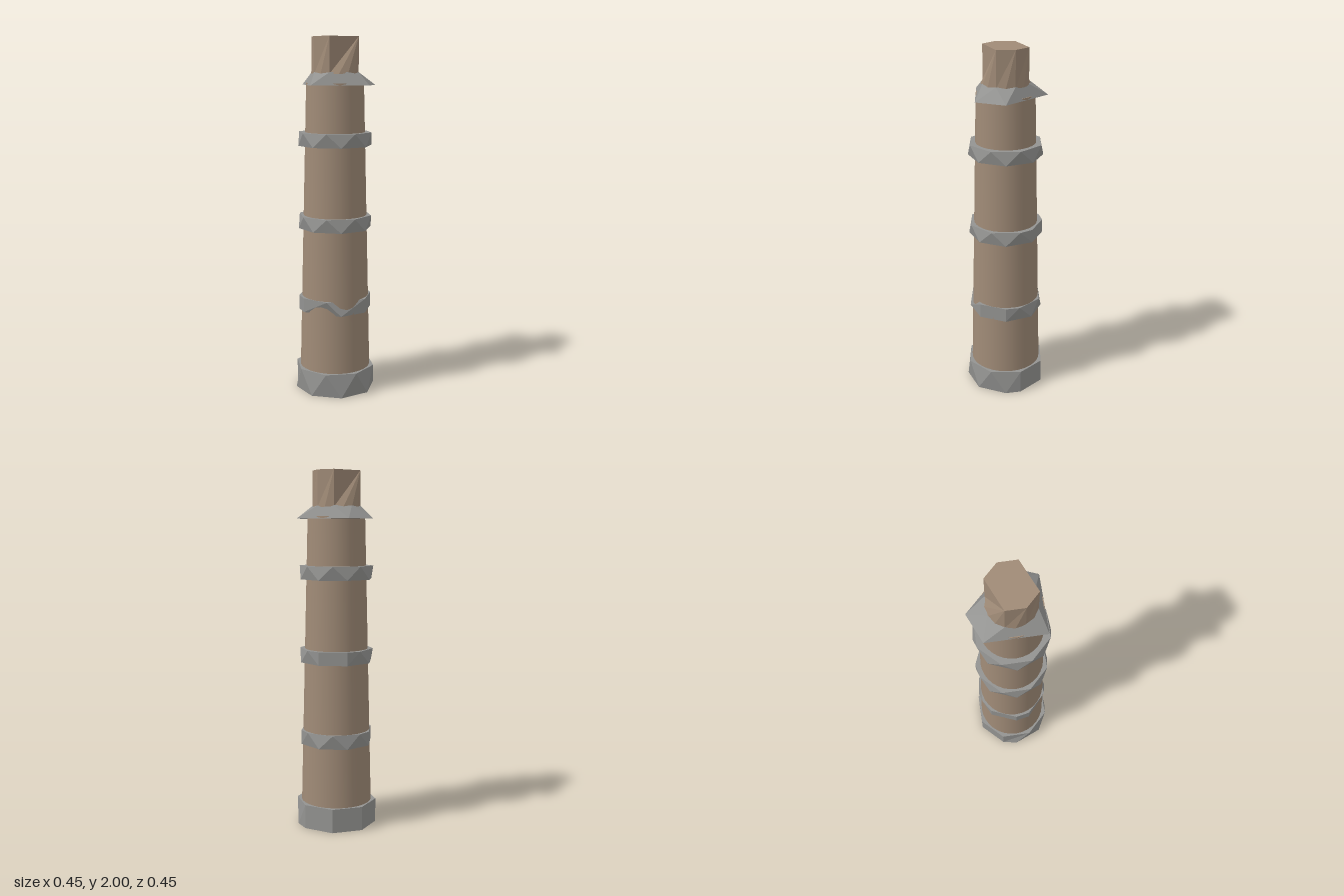
import * as THREE from 'three';

const STEP = Math.PI / 8; // rings use corners of a 16-gon, some left out for a chipped look
const ALL = Array.from({ length: 16 }, (_, i) => i);
const EVEN = ALL.filter((i) => i % 2 === 0);
const ODD = ALL.filter((i) => i % 2 === 1);

const ring = (corners, r, y) => ({ corners, r, y });

// Joins successive rings, matching corners by angle, into a faceted skin.
function skin(rings) {
  const pos = [];
  const put = (ringData, k) => {
    const a = k * STEP;
    pos.push(ringData.r * Math.cos(a), ringData.y, ringData.r * Math.sin(a));
  };
  const at = (list, i) => list[i % list.length] + 16 * Math.floor(i / list.length);
  for (let n = 0; n + 1 < rings.length; n++) {
    const lo = rings[n], hi = rings[n + 1];
    const L = lo.corners, H = hi.corners;
    let i = 0, j = 0;
    while (i < L.length || j < H.length) {
      const a = at(L, i), b = at(H, j);
      const stepLow = j >= H.length || (i < L.length && at(L, i + 1) <= at(H, j + 1));
      if (stepLow) {
        put(lo, a); put(hi, b); put(lo, at(L, ++i));
      } else {
        const next = at(H, ++j);
        if (hi.r > 0) { put(lo, a); put(hi, b); put(hi, next); }
      }
    }
  }
  const geo = new THREE.BufferGeometry();
  geo.setAttribute('position', new THREE.Float32BufferAttribute(pos, 3));
  geo.computeVertexNormals();
  return geo;
}

export function createModel() {
  const group = new THREE.Group();
  const clay = new THREE.MeshStandardMaterial({ name: 'brown clay', color: 0xa08b77 });
  const stone = new THREE.MeshStandardMaterial({ name: 'grey stone', color: 0x939391, side: THREE.DoubleSide });

  const add = (name, geo, mat) => {
    const mesh = new THREE.Mesh(geo, mat);
    mesh.name = name;
    group.add(mesh);
  };

  // Tapered shaft
  const shaft = new THREE.CylinderGeometry(0.16, 0.2, 1.62, 32);
  shaft.translate(0, 0.13 + 0.81, 0);
  add('shaft', shaft, clay);

  // Hollow foot, open below
  add('foot', skin([
    ring([1, 3, 5, 7, 8, 10, 12, 14, 15], 0.227, 0),
    ring(EVEN, 0.227, 0.135),
    ring(ALL, 0.18, 0.135),
  ]), stone);

  // Bands around the shaft
  const bands = [
    ['lowerBand', 0.47, 0.55, [1, 3, 6, 7, 9, 11, 13, 15], [1, 4, 6, 7, 9, 10, 12, 14, 15]],
    ['middleBand', 0.94, 1.015, ODD, [0, 2, 4, 6, 8, 10, 11, 13, 14]],
    ['upperBand', 1.405, 1.48, ODD, EVEN],
  ];
  for (const [name, y0, y1, low, high] of bands) {
    add(name, skin([
      ring(ALL, 0.15, y0),
      ring(low, 0.207, y0),
      ring(high, 0.207, y1),
      ring(ALL, 0.15, y1),
    ]), stone);
  }

  // Flared collar
  add('collar', skin([
    ring(ALL, 0.13, 1.738),
    ring([1, 5, 9, 11, 15], 0.227, 1.738),
    ring(EVEN, 0.133, 1.808),
  ]), stone);

  // Chimney top: round below, six-cornered above
  const rim = [0, 4, 6, 8, 12, 14];
  add('chimneyTop', skin([
    ring(ALL, 0.133, 1.8),
    ring(rim, 0.133, 2),
    ring([0], 0, 2),
  ]), clay);

  return group;
}
